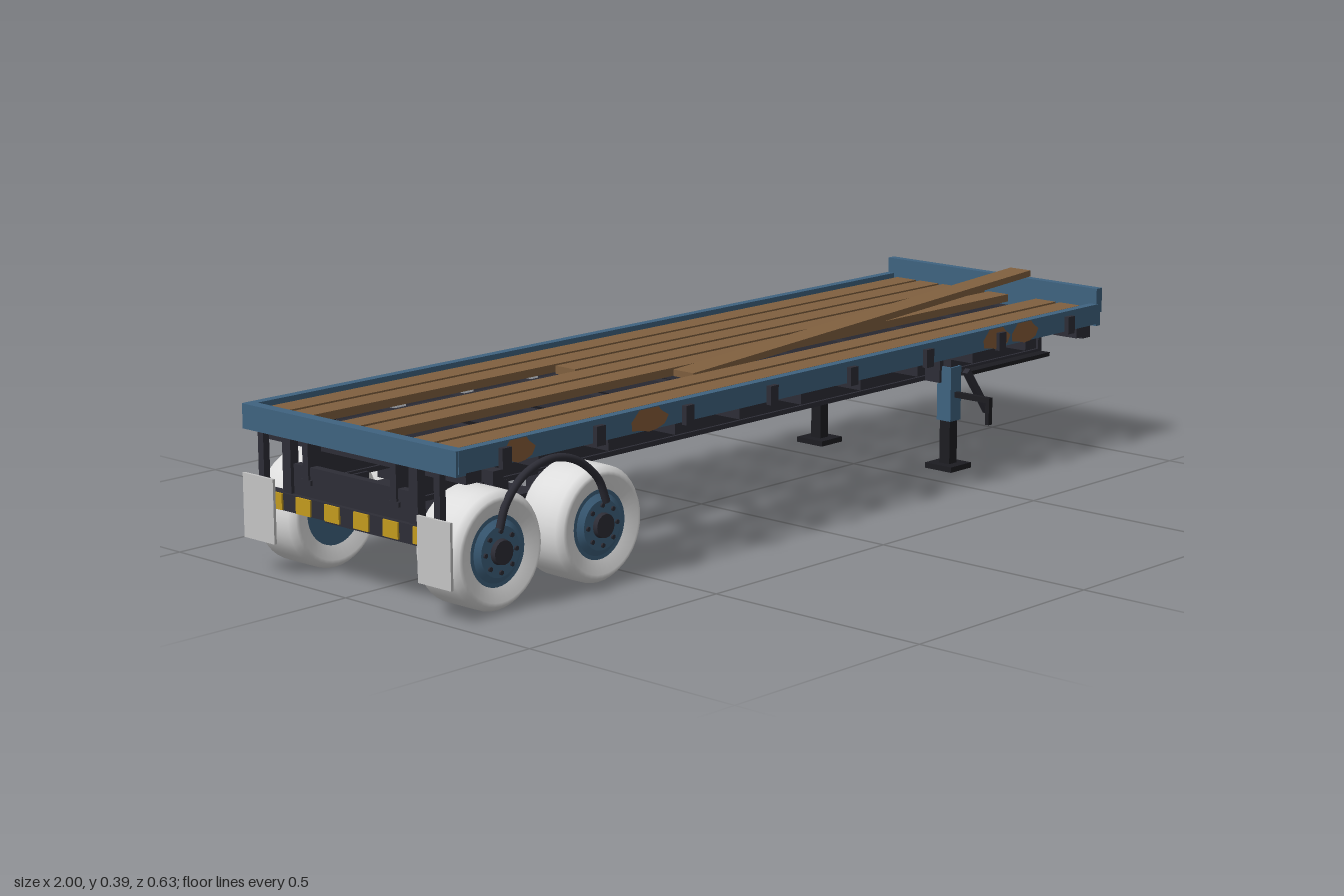
import * as THREE from 'three';

const mat = (name, color, side = THREE.FrontSide) => {
  const m = new THREE.MeshStandardMaterial({ color, side });
  m.name = name;
  return m;
};

export function createModel() {
  const model = new THREE.Group();
  model.name = 'flatbedTrailer';

  const blue = mat('bluePaint', 0x3f6380);
  const steel = mat('darkSteel', 0x2d2d36);
  const wood = mat('plankWood', 0x80603f);
  const rust = mat('rust', 0x875c38, THREE.DoubleSide);
  const tyre = mat('paleTyre', 0xdcdcdc);
  const flapGrey = mat('flapGrey', 0xc4c4c4);
  const black = mat('black', 0x1c1c21);
  const yellow = mat('hazardYellow', 0xc39a1e);

  const add = (name, geo, material, x = 0, y = 0, z = 0, parent = model) => {
    const m = new THREE.Mesh(geo, material);
    m.name = name;
    m.position.set(x, y, z);
    parent.add(m);
    return m;
  };
  // Box given by its extents on each axis
  const box = (name, material, x0, x1, y0, y1, z0, z1) =>
    add(name, new THREE.BoxGeometry(x1 - x0, y1 - y0, z1 - z0), material,
      (x0 + x1) / 2, (y0 + y1) / 2, (z0 + z1) / 2);
  const tube = (name, material, pts, r, n = 24) =>
    add(name, new THREE.TubeGeometry(
      new THREE.CatmullRomCurve3(pts.map(p => new THREE.Vector3(...p))), n, r, 8), material);
  // Straight square bar between two points in a plane of constant z
  const bar = (name, material, xa, ya, xb, yb, z, t) => {
    const m = add(name, new THREE.BoxGeometry(Math.hypot(xb - xa, yb - ya), t, t), material,
      (xa + xb) / 2, (ya + yb) / 2, z);
    m.rotation.z = Math.atan2(yb - ya, xb - xa);
    return m;
  };

  // Deck rim and headboard
  for (const s of [-1, 1]) {
    const z = s * 0.295;
    box('sideRail', blue, -0.985, 0.985, 0.29, 0.335, z - 0.01, z + 0.01);
  }
  box('rearRail', blue, -0.99, -0.965, 0.285, 0.335, -0.303, 0.303);
  box('headboard', blue, 0.98, 1, 0.315, 0.37, -0.303, 0.303);
  box('headboardSill', blue, 0.98, 0.995, 0.285, 0.315, -0.303, 0.303);

  // Deck planks: one is cut short, one is short and sprung upward
  for (let i = 0; i < 8; i++) {
    const z = -0.245 + i * 0.068;
    if (i === 5) {
      const p = bar('liftedPlank', wood, -0.165, 0.322, 0.97, 0.385, 0.099, 0.014);
      p.scale.z = 4;
      p.rotation.order = 'YZX';
      p.rotation.y = 0.006;
    } else {
      box('plank', wood, i === 2 ? -0.295 : -0.965, 0.978, 0.31, 0.327, z - 0.028, z + 0.028);
    }
  }

  // Chassis beams and crossmembers
  for (const s of [-1, 1]) {
    const z = s * 0.125;
    box('mainBeam', steel, -0.985, 0.995, 0.208, 0.308, z - 0.008, z + 0.008);
    box('beamFlange', steel, -0.985, 0.995, 0.2, 0.21, z - 0.014, z + 0.014);
    box('beamTopFlange', steel, -0.965, 0.978, 0.299, 0.309, z - 0.014, z + 0.014);
    box('beamEnd', steel, 0.985, 0.998, 0.2, 0.29, z - 0.014, z + 0.014);
  }
  for (let i = 0; i < 11; i++) {
    const x = -0.938 + i * 0.188;
    box('crossmember', steel, x - 0.013, x + 0.013, 0.262, 0.308, -0.287, 0.287);
  }
  box('frontCrossmember', steel, 0.96, 0.99, 0.256, 0.3, -0.28, 0.28);
  box('couplerPlate', black, 0.69, 0.995, 0.195, 0.204, -0.165, 0.165);
  add('kingpin', new THREE.CylinderGeometry(0.012, 0.012, 0.025, 16), steel, 0.86, 0.184, 0);

  // Stake pockets
  for (const s of [-1, 1]) {
    for (let i = 0; i < 8; i++) {
      const x = -0.872 + i * 0.249;
      box('stakePocket', steel, x - 0.012, x + 0.012, 0.285, 0.324, s * 0.31 - 0.006, s * 0.31 + 0.006);
    }
  }

  // Wheels on two axles
  const profile = [[0.07, -0.05], [0.098, -0.06], [0.106, -0.058], [0.116, -0.046], [0.1165, -0.02],
    [0.1165, 0.02], [0.116, 0.046], [0.106, 0.058], [0.098, 0.06], [0.07, 0.05]];
  const tyreGeo = new THREE.LatheGeometry(profile.map(p => new THREE.Vector2(...p)), 40);
  const hubGeo = new THREE.CylinderGeometry(0.072, 0.072, 0.1, 32);
  const dishGeo = new THREE.CylinderGeometry(0.05, 0.062, 0.008, 32);
  const capGeo = new THREE.CylinderGeometry(0.024, 0.026, 0.012, 16);
  const boltGeo = new THREE.CylinderGeometry(0.005, 0.005, 0.008, 6);
  for (const x of [-0.866, -0.594]) {
    box('axle', steel, x - 0.03, x + 0.03, 0.1, 0.15, -0.175, 0.175);
    for (const s of [-1, 1]) {
      const wheel = new THREE.Group();
      wheel.name = 'wheel';
      wheel.position.set(x, 0.1185, s * 0.23);
      wheel.rotation.x = s * Math.PI / 2;
      model.add(wheel);
      add('tyre', tyreGeo, tyre, 0, 0, 0, wheel);
      add('hub', hubGeo, blue, 0, 0, 0, wheel);
      add('hubDish', dishGeo, blue, 0, 0.054, 0, wheel);
      add('hubCap', capGeo, steel, 0, 0.062, 0, wheel);
      for (let k = 0; k < 8; k++) {
        const a = k * Math.PI / 4;
        add('wheelBolt', boltGeo, steel, 0.04 * Math.cos(a), 0.058, 0.04 * Math.sin(a), wheel);
      }
      box('springSeat', steel, x - 0.025, x + 0.025, 0.145, 0.205, s * 0.125 - 0.02, s * 0.125 + 0.02);
    }
  }

  // Suspension beams and arched bars over the wheels
  for (const s of [-1, 1]) {
    box('suspensionBeam', steel, -0.9, -0.56, 0.15, 0.17, s * 0.125 - 0.02, s * 0.125 + 0.02);
    box('suspensionHanger', steel, -0.76, -0.7, 0.165, 0.205, s * 0.125 - 0.015, s * 0.125 + 0.015);
    const z = s * 0.293;
    tube('wheelArchBar', steel, [[-0.872, 0.165, z], [-0.855, 0.21, z], [-0.81, 0.255, z], [-0.74, 0.276, z],
      [-0.67, 0.262, z], [-0.61, 0.215, z], [-0.587, 0.165, z]], 0.008, 40);
  }
  box('suspensionCrossbar', steel, -0.765, -0.738, 0.17, 0.235, -0.165, 0.165);

  // Rear bumper with hazard stripes, and mudflaps
  box('tailPanel', steel, -0.98, -0.962, 0.165, 0.235, -0.165, 0.165);
  box('rearBumper', steel, -0.99, -0.965, 0.14, 0.175, -0.25, 0.25);
  for (let i = 0; i < 6; i++) {
    const z = -0.208 + i * 0.083;
    box('hazardStripe', yellow, -0.994, -0.989, 0.141, 0.174, z - 0.021, z + 0.021);
  }
  for (const s of [-1, 1]) {
    box('bumperPost', steel, -0.985, -0.965, 0.17, 0.29, s * 0.18 - 0.012, s * 0.18 + 0.012);
    box('flapHanger', steel, -0.99, -0.975, 0.19, 0.29, s * 0.25 - 0.008, s * 0.25 + 0.008);
    box('mudflap', flapGrey, -1, -0.994, 0.07, 0.2, s * 0.25 - 0.045, s * 0.25 + 0.045);
  }

  // Landing legs with feet and loose braces
  for (const s of [-1, 1]) {
    const z = s * 0.187;
    box('legSleeve', blue, 0.582, 0.618, 0.115, 0.236, z - 0.019, z + 0.019);
    box('legTop', steel, 0.587, 0.613, 0.23, 0.265, z - 0.014, z + 0.014);
    box('innerLeg', black, 0.587, 0.613, 0.015, 0.12, z - 0.014, z + 0.014);
    box('foot', black, 0.565, 0.635, 0.006, 0.018, z - 0.037, z + 0.037);
    box('legBracket', steel, 0.575, 0.625, 0.2, 0.262, s * 0.15 - 0.03, s * 0.15 + 0.03);
    bar('legBrace', steel, 0.66, 0.215, 0.737, 0.112, z, 0.014);
  }
  // Crank handle
  box('crankShaft', black, 0.595, 0.607, 0.168, 0.18, 0.2, 0.302);
  box('crankArm', black, 0.595, 0.607, 0.12, 0.18, 0.292, 0.302);

  // Ragged rust patches along both rails
  const patch = (x, w, s) => {
    const shape = new THREE.Shape();
    const ragged = [1, 0.72, 0.95, 0.8, 1, 0.75, 0.9, 1, 0.7, 0.95, 0.78, 0.92];
    ragged.forEach((r, i) => {
      const a = i * Math.PI / 6;
      const px = w / 2 * r * Math.cos(a), py = THREE.MathUtils.clamp(0.034 * r * Math.sin(a), -0.025, 0.021);
      i ? shape.lineTo(px, py) : shape.moveTo(px, py);
    });
    add('rustPatch', new THREE.ShapeGeometry(shape), rust, x, 0.313, s * 0.3075);
  };
  for (const [x, w] of [[-0.835, 0.09], [-0.482, 0.11], [0.61, 0.1], [0.71, 0.1]]) patch(x, w, 1);
  for (const [x, w] of [[0.85, 0.08], [0.4, 0.1], [-0.08, 0.1]]) patch(x, w, -1);

  return model;
}
